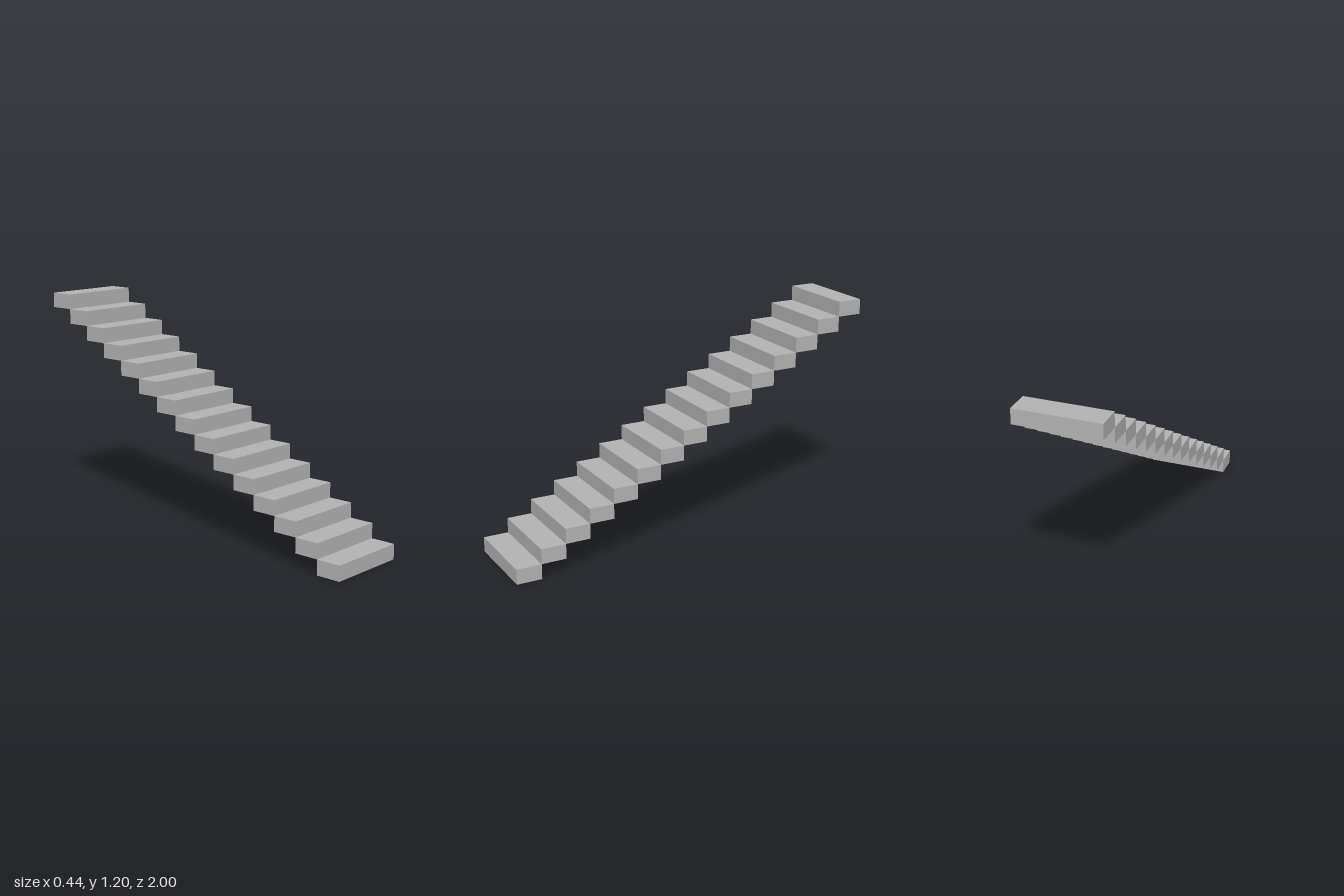
import * as THREE from 'three';

// Straight flight of solid block steps, climbing from front to back
export function createModel() {
  const STEPS = 15;
  const WIDTH = 0.444;
  const RISE = 1.2 / STEPS;
  const RUN = 2 / STEPS;

  const stone = new THREE.MeshStandardMaterial({ color: 0xb2b2b2 });
  stone.name = 'grey stone';

  const staircase = new THREE.Group();
  staircase.name = 'staircase';

  // Each block meets the next one along a shared edge
  const block = new THREE.BoxGeometry(WIDTH, RISE, RUN);
  for (let i = 0; i < STEPS; i++) {
    const step = new THREE.Mesh(block, stone);
    step.name = `step${i + 1}`;
    step.position.set(0, (i + 0.5) * RISE, 1 - (i + 0.5) * RUN);
    staircase.add(step);
  }
  return staircase;
}
